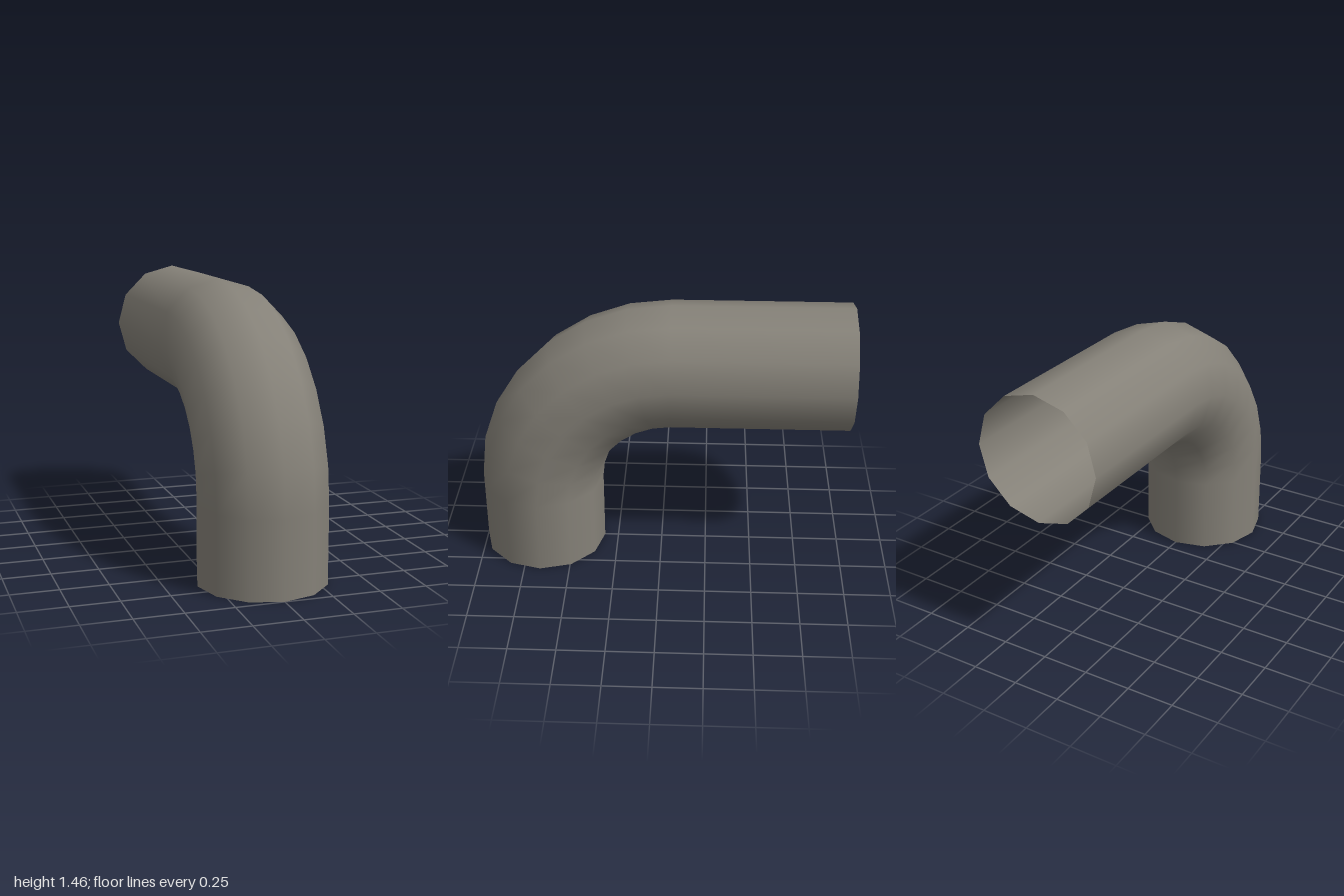
import * as THREE from 'three';

const RADIUS = 0.337;      // pipe radius
const BEND = 0.713;        // centreline radius of the elbow
const BEND_Y = 0.41;       // elbow centre
const BEND_Z = -0.05;
const BEND_STEPS = 7;
const SIDES = 12;

// Centreline stations: straight foot, quarter-turn elbow, straight run to the back
function stations() {
  const list = [{ y: 0, z: BEND_Z + BEND, angle: 0 }];
  for (let i = 0; i <= BEND_STEPS; i++) {
    const angle = (i / BEND_STEPS) * Math.PI / 2;
    list.push({
      y: BEND_Y + BEND * Math.sin(angle),
      z: BEND_Z + BEND * Math.cos(angle),
      angle,
    });
  }
  list.push({ y: BEND_Y + BEND, z: -1, angle: Math.PI / 2 });
  return list;
}

// Open cylinder whose rings are carried along the stations
function bentPipeGeometry() {
  const path = stations();
  const rows = path.length - 1;
  const geo = new THREE.CylinderGeometry(RADIUS, RADIUS, rows, SIDES, rows, true);
  const pos = geo.attributes.position;
  const nor = geo.attributes.normal;
  for (let i = 0; i < pos.count; i++) {
    const s = path[Math.round(pos.getY(i) + rows / 2)];
    const sin = Math.sin(s.angle), cos = Math.cos(s.angle);
    const z = pos.getZ(i), nz = nor.getZ(i);
    pos.setXYZ(i, pos.getX(i), s.y + z * sin, s.z + z * cos);
    nor.setXYZ(i, nor.getX(i), nz * sin, nz * cos);
  }
  return geo;
}

export function createModel() {
  const group = new THREE.Group();
  group.name = 'pipeElbow';
  const material = new THREE.MeshStandardMaterial({ color: 0x858178, side: THREE.DoubleSide });
  const pipe = new THREE.Mesh(bentPipeGeometry(), material);
  pipe.name = 'bentPipe';
  group.add(pipe);
  return group;
}
